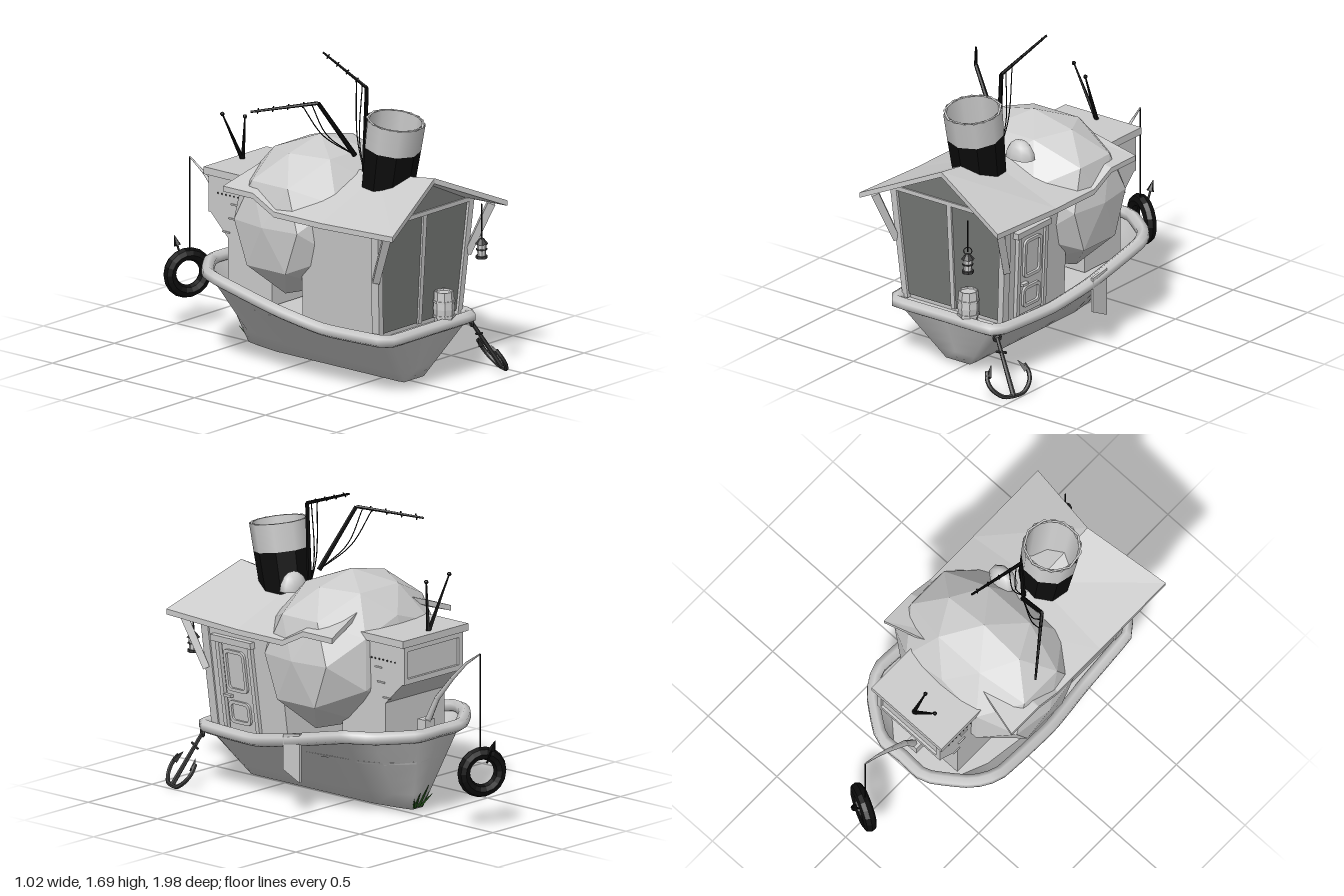
import * as THREE from 'three';

const CX = -0.03; // centre line of the boat
const V = (x, y, z) => new THREE.Vector3(x, y, z);
const mat = (color, flat = true) =>
  new THREE.MeshStandardMaterial({ color, flatShading: flat, side: THREE.DoubleSide });
const grey = mat(0xcccccc), smooth = mat(0xcccccc, false), glass = mat(0x767876);
const white = mat(0xf4f4f4, false), black = mat(0x0c0c0c), iron = mat(0x3a3a3a), green = mat(0x1d4a14);

function add(parent, name, geo, material = grey, x = 0, y = 0, z = 0) {
  const m = new THREE.Mesh(geo, material);
  m.name = name;
  m.position.set(x, y, z);
  parent.add(m);
  return m;
}
function group(parent, name) {
  const g = new THREE.Group();
  g.name = name;
  parent.add(g);
  return g;
}
// Tapered rod between two points
function rod(parent, name, a, b, r0, r1 = r0, material = black, sides = 6) {
  const m = add(parent, name, new THREE.CylinderGeometry(r1, r0, a.distanceTo(b), sides), material);
  m.position.copy(a).lerp(b, 0.5);
  m.quaternion.setFromUnitVectors(V(0, 1, 0), b.clone().sub(a).normalize());
  return m;
}
const tube = (pts, r, seg = 16, closed = false, tension = 0.5) => new THREE.TubeGeometry(
  new THREE.CatmullRomCurve3(pts, closed, 'catmullrom', tension), seg, r, 6, closed);
const outline = pts => new THREE.Shape(pts.map(p => new THREE.Vector2(...p)));
const extrude = (shape, depth) => new THREE.ExtrudeGeometry(shape, { depth, bevelEnabled: false, curveSegments: 4 });

// Skin over closed rings of points; startCap and endCap list triangles on the end rings
function loft(rings, startCap = [], endCap = []) {
  const n = rings[0].length, idx = [];
  for (let r = 0; r < rings.length - 1; r++) for (let i = 0; i < n; i++) {
    const a = r * n + i, b = r * n + (i + 1) % n;
    idx.push(a, b, b + n, a, b + n, a + n);
  }
  startCap.forEach(([a, b, c]) => idx.push(a, c, b));
  const o = (rings.length - 1) * n;
  endCap.forEach(([a, b, c]) => idx.push(a + o, b + o, c + o));
  const g = new THREE.BufferGeometry().setFromPoints(rings.flat());
  g.setIndex(idx);
  g.computeVertexNormals();
  return g;
}
const fan = n => Array.from({ length: n - 2 }, (_, i) => [0, i + 1, i + 2]);

function roundFrame(w, h, r, border) {
  const path = (P, a, b, q) => {
    const p = new P();
    p.absarc(a - q, b - q, q, 0, Math.PI / 2);
    p.absarc(q - a, b - q, q, Math.PI / 2, Math.PI);
    p.absarc(q - a, q - b, q, Math.PI, Math.PI * 1.5);
    p.absarc(a - q, q - b, q, Math.PI * 1.5, Math.PI * 2);
    return p;
  };
  const s = path(THREE.Shape, w / 2, h / 2, r);
  s.holes.push(path(THREE.Path, w / 2 - border, h / 2 - border, r * 0.6));
  return extrude(s, 0.02);
}

// Half outlines (x, z) of gunwale and keel, from bow to stern
const TOP = [[0, .82], [.31, .82], [.355, .76], [.385, .4], [.43, .1], [.437, -.3], [.36, -.44], [.16, -.585], [0, -.585]];
const KEEL = [[0, .7], [.08, .7], [.085, .66], [.085, .4], [.085, .1], [.085, -.2], [.06, -.35], [.04, -.43], [0, -.43]];
const sheer = z => 0.33 + 0.155 * THREE.MathUtils.smoothstep(-z, -0.45, 0.35);

function hullRing(level) { // level(topY) gives the height of the ring
  return Array.from({ length: 16 }, (_, i) => {
    const k = i <= 8 ? i : 16 - i, s = i <= 8 ? 1 : -1, yTop = sheer(TOP[k][1]);
    const y = level(yTop), t = (y - 0.03) / (yTop - 0.03);
    return V(CX + s * THREE.MathUtils.lerp(KEEL[k][0], TOP[k][0], t), y,
      THREE.MathUtils.lerp(KEEL[k][1], TOP[k][1], t));
  });
}

function buildHull(root) {
  const hull = group(root, 'hull');
  const rings = [0, .2, .4, .6, .8, 1].map(t => hullRing(top => 0.03 + t * (top - 0.03)));
  add(hull, 'hullShell', loft(rings, fan(16)), smooth);
  add(hull, 'deck', loft([hullRing(() => .31), hullRing(() => .325)], [], fan(16)));
  add(hull, 'gunwale', tube(rings[5], 0.036, 64, true, 0.25), smooth);
  // Plank hung over the side, cut at a slant
  const plank = extrude(outline([[-.12, .235], [0, .18], [0, .45], [-.12, .43]]), .014);
  add(hull, 'sidePlank', plank, grey, .415).rotation.y = Math.PI / 2;
  for (let i = 0; i < 7; i++) {
    const a = i * 2.4;
    rod(hull, 'weed', V(CX + .03 * Math.cos(a), .04, -.43),
      V(CX + .07 * Math.cos(a), .1 + .011 * i, -.47 - .025 * Math.sin(a)), .009, .002, green, 4);
  }
}

function buildCabin(root) {
  const cabin = group(root, 'cabin');
  // Walls lean outwards towards the roof
  const lean = (name, geo, x, y, z, material) => {
    geo.translate(x, y, z);
    const p = geo.attributes.position;
    for (let i = 0; i < p.count; i++) {
      const t = (p.getY(i) - .33) / .64;
      p.setX(i, CX + p.getX(i) * (.86 + .14 * t));
      p.setZ(i, p.getZ(i) + .04 * t);
    }
    return add(cabin, name, geo, material);
  };
  const box = (name, w, h, d, x, y, z, m) => lean(name, new THREE.BoxGeometry(w, h, d), x, y, z, m);
  box('walls', .76, .65, .52, 0, .645, .46);
  box('frontGlass', .7, .61, .02, 0, .655, .722, glass);
  box('centrePost', .03, .62, .03, 0, .655, .728);
  for (const s of [-1, 1]) {
    box('cornerPost', .04, .64, .05, s * .37, .65, .722);
    rod(cabin, 'eaveBrace', V(CX + s * .37, .66, .755), V(CX + s * .42, .95, .88), .026, .03, grey, 4);
  }
  box('frontBeam', .79, .025, .04, 0, .965, .728);
  add(cabin, 'gable', extrude(outline([[-.385, 0], [.385, 0], [0, .17]]), .03), glass, CX, .97, .75);

  // Side door
  box('doorPanel', .015, .5, .19, .385, .6, .51);
  box('doorLintel', .05, .035, .29, .39, .845, .52);
  for (const z of [.40, .63]) box('doorPost', .03, .5, .025, .39, .59, z);
  const pane = (name, h, y) => lean(name, roundFrame(.15, h, .03, .018).rotateY(Math.PI / 2), .388, y, .515);
  pane('doorWindow', .23, .68);
  pane('doorLowerPanel', .125, .45);
  box('doorHandle', .04, .015, .05, .4, .535, .585);

  // Roof: [eave z, eave y, ridge z, ridge y] from stern to bow
  const roof = [[-.24, 1.02, -.15, 1.18], [-.03, 1.02, -.03, 1.16], [.12, .945, .12, 1.12],
    [.45, .945, .45, 1.115], [.955, .965, .845, 1.168]].map(([ez, ey, rz, ry]) => [
    V(CX - .465, ey - .03, ez), V(CX, ry - .03, rz), V(CX + .465, ey - .03, ez),
    V(CX + .465, ey, ez), V(CX, ry, rz), V(CX - .465, ey, ez)]);
  const chevron = [[0, 1, 4], [0, 4, 5], [1, 2, 3], [1, 3, 4]];
  add(cabin, 'roof', loft(roof, chevron, chevron));

  // Faceted dome swelling out of the cabin, blunt at its sides and rounder on top
  const dome = new THREE.IcosahedronGeometry(1, 1), p = dome.attributes.position;
  for (let i = 0; i < p.count; i++) {
    const v = new THREE.Vector3().fromBufferAttribute(p, i), e = 3 - v.y;
    const k = Math.pow(Math.pow(Math.abs(v.x), e) + Math.pow(Math.hypot(v.y, v.z), e), -1 / e);
    p.setXYZ(i, v.x * k * .478, v.y * k * .42, v.z * k * .385);
  }
  add(cabin, 'dome', dome, grey, CX, .845, .043);
  const scoop = add(cabin, 'roofScoop', new THREE.SphereGeometry(1, 9, 4, 0, Math.PI * 2, 0, Math.PI / 2), smooth, .11, 1.12, .34);
  scoop.scale.set(.09, .1, .06);
}

function buildSternHouse(root) {
  const house = group(root, 'sternHouse');
  const w = .46;
  const side = outline([[.1, .33], [.41, .33], [.41, .65], [.53, .77], [.53, .99], [.1, .99]]);
  add(house, 'sternBody', extrude(side, w), grey, CX - w / 2).rotation.y = Math.PI / 2;
  add(house, 'sternRoof', new THREE.BoxGeometry(.51, .04, .36), grey, CX, 1.0, -.38);
  // Raised frame round the stern panel
  for (const y of [.785, .965]) add(house, 'panelRail', new THREE.BoxGeometry(w, .03, .02), grey, CX, y, -.535);
  for (const s of [-1, 1]) {
    add(house, 'panelStile', new THREE.BoxGeometry(.03, .2, .02), grey, CX + s * .215, .875, -.535);
    for (const [y, z] of [[.76, -.38], [.68, -.42], [.84, -.36]])
      add(house, 'plankStep', new THREE.BoxGeometry(.012, .008, .05), grey, CX + s * .23, y, z);
    for (let i = 0; i < 7; i++)
      add(house, 'nail', new THREE.BoxGeometry(.008, .008, .008), iron, CX + s * .231, .885, -.31 - .028 * i);
  }
  for (const tip of [V(-.19, 1.3, -.51), V(-.07, 1.27, -.455)]) {
    rod(house, 'whipAerial', V(CX, 1.01, -.505), tip, .012, .004);
    add(house, 'aerialBall', new THREE.SphereGeometry(.012, 6, 5), black, ...tip.toArray());
  }
}

function buildChimney(root) {
  const c = group(root, 'chimney');
  c.position.set(CX, 1.08, .515);
  c.rotation.x = .16;
  const sleeve = (name, r1, r0, y0, y1, m) =>
    add(c, name, new THREE.CylinderGeometry(r1, r0, y1 - y0, 9, 1, true), m, 0, (y0 + y1) / 2, 0);
  sleeve('chimneyBase', .154, .142, -.04, .205, black);
  sleeve('chimneyTop', .16, .154, .205, .36, white);
  sleeve('chimneyLiner', .148, .135, .01, .36, white);
  add(c, 'chimneyRim', new THREE.RingGeometry(.148, .16, 9).rotateX(-Math.PI / 2).rotateY(Math.PI / 2), white, 0, .36, 0);
}

function buildAerials(root) {
  // A leaning mast with a toothed boom and slack cables
  const aerial = (name, foot, top, tip, teeth) => {
    const g = group(root, name);
    rod(g, 'mast', foot, top, .014, .011);
    rod(g, 'boom', top, tip, .01, .006);
    for (let i = 1; i <= 4; i++) {
      const p = top.clone().lerp(tip, i / 4.5);
      rod(g, 'tooth', p.clone().sub(teeth), p.clone().add(teeth), .004);
    }
    for (const t of [.1, .24]) {
      const start = top.clone().lerp(tip, t), mid = start.clone().lerp(foot, .55).lerp(V(tip.x, foot.y, tip.z), .1);
      add(g, 'cable', tube([start, mid, foot], .003), black);
    }
  };
  aerial('uprightAerial', V(-.03, 1.1, .35), V(-.01, 1.57, .35), V(.03, 1.69, .01), V(.006, .012, .004));
  aerial('leaningAerial', V(-.06, 1.2, .31), V(-.27, 1.52, .235), V(-.49, 1.465, -.05), V(0, .016, .004));
}

function buildTackle(root) {
  // Fishing rod with a hooked tyre
  const f = group(root, 'fishingRod');
  const pts = [V(CX, .52, -.5), V(CX, .66, -.57), V(CX, .79, -.68), V(CX, .89, -.78), V(CX, .96, -.88)];
  for (let i = 0; i < 4; i++) rod(f, 'rodSection', pts[i], pts[i + 1], .02 - .004 * i, .016 - .004 * i, smooth);
  rod(f, 'fishingLine', pts[4], V(CX, .44, -.88), .004);
  add(f, 'tyre', new THREE.TorusGeometry(.103, .036, 8, 18), black, CX, .315, -.893).rotation.y = -.46;
  rod(f, 'hookShank', V(CX, .37, -.93), V(CX, .47, -.975), .006);
  rod(f, 'hookBarb', V(CX, .45, -.965), V(CX, .505, -.99), .02, .001);
  add(f, 'rodHolder', new THREE.BoxGeometry(.07, .07, .06), grey, CX, .5, -.49);

  // Anchor on the bow
  const a = group(root, 'anchor');
  const ring = V(.315, .29, .805), crown = V(.48, .018, .875);
  const up = ring.clone().sub(crown).normalize();
  add(a, 'anchorRing', new THREE.TorusGeometry(.02, .008, 6, 10), iron, ...ring.toArray()).rotation.y = Math.PI / 3;
  rod(a, 'anchorShank', crown, ring, .014, .01, iron);
  const bar = ring.clone().lerp(crown, .25);
  rod(a, 'anchorStock', bar.clone().add(V(.01, -.01, -.03)), bar.clone().add(V(-.01, .01, .03)), .007, .007, iron);
  for (const s of [-1, 1]) {
    const at = (u, w) => crown.clone().addScaledVector(up, u).addScaledVector(V(-.4, 0, .92), s * w);
    add(a, 'anchorArm', tube([crown, at(.008, .06), at(.055, .11), at(.11, .125), at(.16, .11)], .012, 12), iron);
    rod(a, 'anchorFluke', at(.125, .115), at(.185, .08), .02, .002, iron, 4);
  }

  // Lantern under the eave
  const l = group(root, 'lantern');
  l.position.set(.23, .69, .95);
  rod(l, 'lanternCord', V(0, .12, 0), V(0, .3, 0), .004);
  add(l, 'lanternHandle', new THREE.TorusGeometry(.022, .003, 5, 10), iron, 0, .125, 0).rotation.y = .6;
  for (const [r0, r1, h, y, m] of [[.032, .032, .015, .008, iron], [.022, .026, .065, .045, grey],
    [.03, .03, .008, .05, iron], [.036, .012, .03, .095, iron]])
    add(l, 'lanternBody', new THREE.CylinderGeometry(r1, r0, h, 8), m, 0, y, 0);

  // Barrel on the foredeck
  const b = group(root, 'barrel');
  b.position.set(.11, .32, .79);
  add(b, 'barrelBody', new THREE.LatheGeometry([[0, 0], [.05, 0], [.058, .09], [.052, .185], [.046, .185], [.044, .175], [0, .175]]
    .map(p => new THREE.Vector2(...p)), 8));
  for (const y of [.05, .13]) add(b, 'barrelHoop', new THREE.CylinderGeometry(.06, .06, .012, 8), grey, 0, y, 0);
}

export function createModel() {
  const root = new THREE.Group();
  root.name = 'houseboat';
  [buildHull, buildCabin, buildSternHouse, buildChimney, buildAerials, buildTackle].forEach(build => build(root));
  return root;
}
